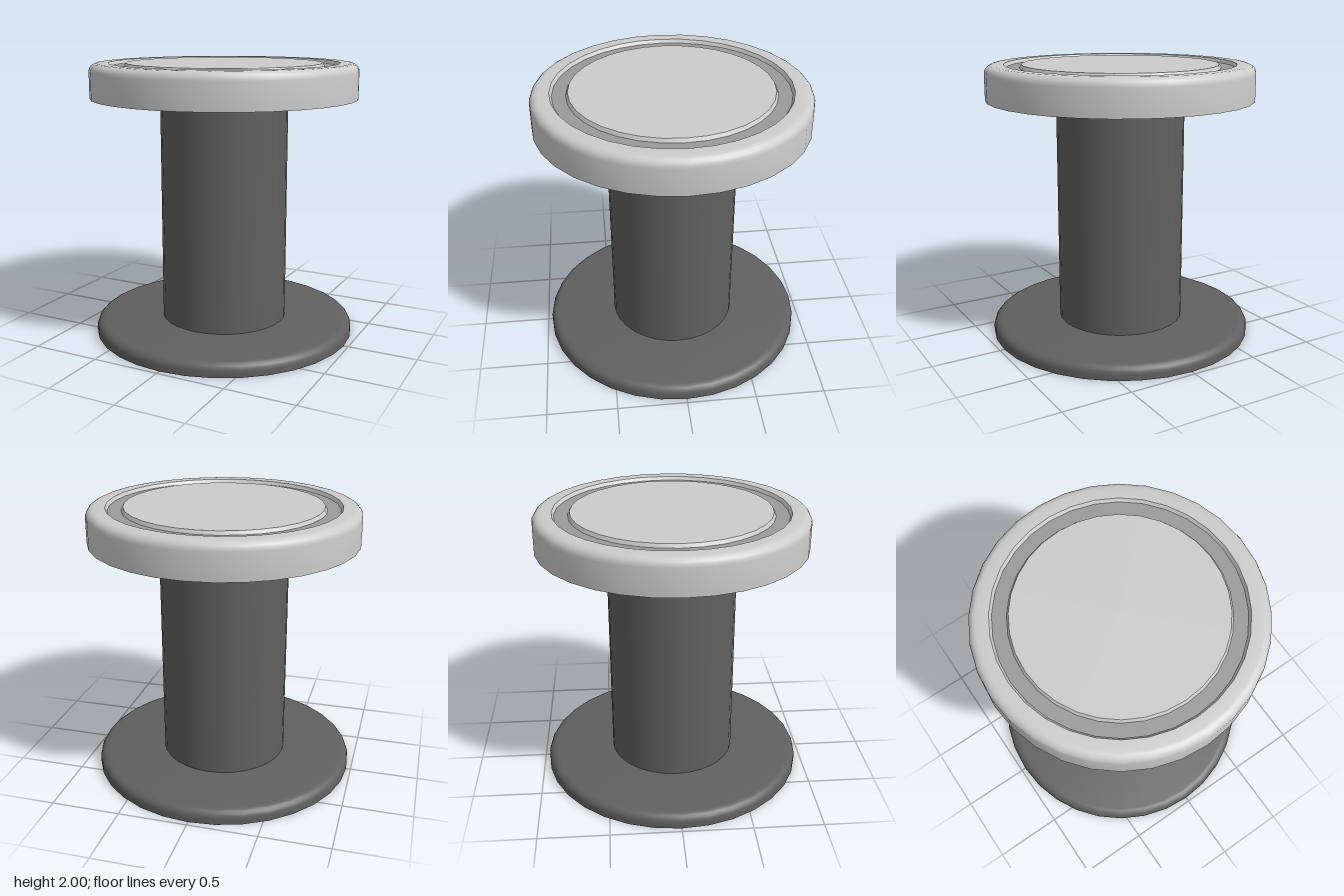
import * as THREE from 'three';
import { toCreasedNormals } from 'three/addons/utils/BufferGeometryUtils.js';

const SIDES = 32;
const RADIUS = 0.967; // shared by the base and the cap
const ROUND = 0.06; // rounding of their upper edges

const dark = new THREE.MeshStandardMaterial({ color: 0x606060 });
const mid = new THREE.MeshStandardMaterial({ color: 0x9a9a9a });
const light = new THREE.MeshStandardMaterial({ color: 0xcccccc });

// Turned part from a list of [radius, height], running bottom to top outside
function turned(name, profile, material) {
  const points = profile.map(([r, y]) => new THREE.Vector2(r, y));
  const geometry = toCreasedNormals(new THREE.LatheGeometry(points, SIDES), 0.5);
  const mesh = new THREE.Mesh(geometry, material);
  mesh.name = name;
  return mesh;
}

// Quarter-round from the vertical side to the flat top at height y
function roundedEdge(y, steps = 5) {
  return Array.from({ length: steps + 1 }, (_, i) => {
    const a = (i / steps) * Math.PI / 2;
    return [RADIUS - ROUND + ROUND * Math.cos(a), y - ROUND + ROUND * Math.sin(a)];
  });
}

export function createModel() {
  const model = new THREE.Group();
  model.name = 'knob';
  const capBottom = 1.75, top = 2, grooveFloor = 1.975;

  // Flat round foot and the column standing on it
  model.add(turned('base', [[0, 0], [RADIUS, 0], ...roundedEdge(0.1), [0, 0.1]], dark));
  const stem = new THREE.Mesh(
    new THREE.CylinderGeometry(0.465, 0.465, capBottom - 0.1, SIDES, 1, true), dark);
  stem.name = 'stem';
  stem.position.y = (capBottom + 0.1) / 2;
  model.add(stem);

  // Cap with raised rim, sunken ring and raised centre
  model.add(turned('cap',
    [[0, capBottom], [RADIUS, capBottom], ...roundedEdge(top), [0.83, top], [0.815, grooveFloor]], light));
  model.add(turned('grooveRing', [[0.815, grooveFloor], [0.72, grooveFloor]], mid));
  model.add(turned('centreDisc', [[0.72, grooveFloor], [0.706, top], [0, top]], light));
  return model;
}
